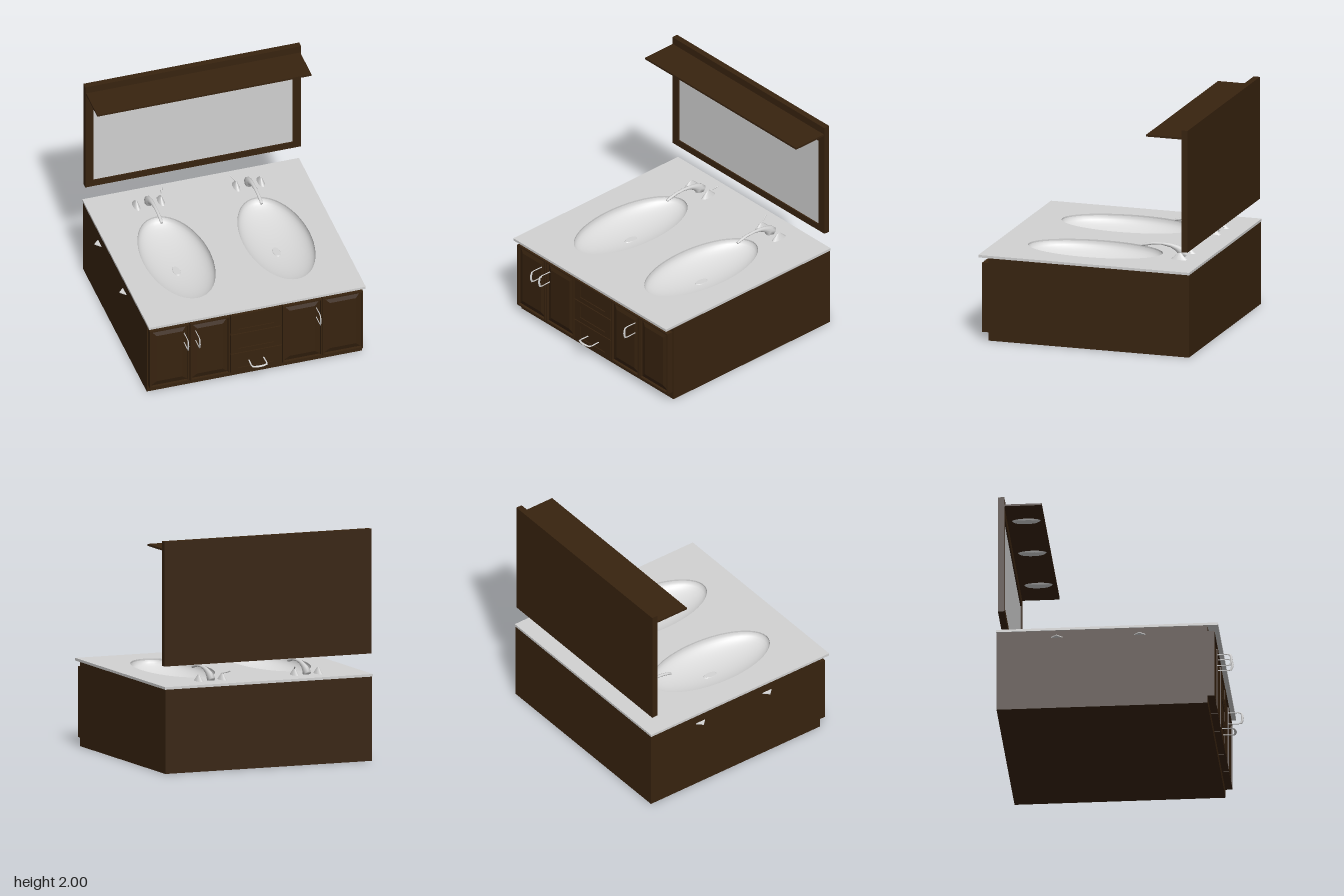
import * as THREE from 'three';

const mat = (name, color, side = THREE.FrontSide) => {
  const m = new THREE.MeshStandardMaterial({ color, side });
  m.name = name;
  return m;
};

export function createModel() {
  const wood = mat('dark wood', 0x38230f);
  const stone = mat('pale stone', 0xd2d2d2);
  const glass = mat('mirror glass', 0xd0d0d0);
  const porcelain = mat('porcelain', 0xdadada, THREE.DoubleSide);
  const chrome = mat('chrome', 0xd4d4d4, THREE.DoubleSide);

  const model = new THREE.Group();
  model.name = 'doubleVanity';
  const add = (name, geo, material, parent = model) => {
    const m = new THREE.Mesh(geo, material);
    m.name = name;
    parent.add(m);
    return m;
  };
  // Box given by its min and max corners
  const box = (name, x0, x1, y0, y1, z0, z1, material = wood) =>
    add(name, new THREE.BoxGeometry(x1 - x0, y1 - y0, z1 - z0), material)
      .position.set((x0 + x1) / 2, (y0 + y1) / 2, (z0 + z1) / 2);

  const rectPath = (P, x0, x1, y0, y1) => {
    const p = new P();
    p.moveTo(x0, y0).lineTo(x1, y0).lineTo(x1, y1).lineTo(x0, y1).closePath();
    return p;
  };
  // Rectangular frame with a border, extruded from z0 to z1
  const frame = (name, x0, x1, y0, y1, bl, bb, bt, z0, z1) => {
    const s = rectPath(THREE.Shape, x0, x1, y0, y1);
    s.holes.push(rectPath(THREE.Path, x0 + bl, x1 - bl, y0 + bb, y1 - bt));
    const g = new THREE.ExtrudeGeometry(s, { depth: z1 - z0, bevelEnabled: false });
    g.translate(0, 0, z0);
    return add(name, g, wood);
  };
  // Panel whose front face is smaller than its back
  const raisedPanel = (name, x0, x1, y0, y1, z0, z1, inset) => {
    const w = x1 - x0, h = y1 - y0;
    const g = new THREE.BoxGeometry(w, h, z1 - z0);
    const p = g.attributes.position;
    for (let i = 0; i < p.count; i++) {
      if (p.getZ(i) > 0) {
        p.setX(i, p.getX(i) * (1 - 2 * inset / w));
        p.setY(i, p.getY(i) * (1 - 2 * inset / h));
      }
    }
    g.computeVertexNormals();
    g.translate((x0 + x1) / 2, (y0 + y1) / 2, (z0 + z1) / 2);
    add(name, g, wood);
  };
  // Sweep of elliptical sections [z, y, half width in x, half thickness]
  const loft = (sections, sides = 10) => {
    const pos = [], idx = [], n = sections.length;
    sections.forEach(([z, y, hw, ht], i) => {
      const a = sections[Math.max(i - 1, 0)], b = sections[Math.min(i + 1, n - 1)];
      const len = Math.hypot(b[0] - a[0], b[1] - a[1]);
      const tz = (b[0] - a[0]) / len, ty = (b[1] - a[1]) / len;
      for (let k = 0; k < sides; k++) {
        const t = k / sides * Math.PI * 2, s = Math.sin(t) * ht;
        pos.push(Math.cos(t) * hw, y + tz * s, z - ty * s);
      }
    });
    for (let i = 0; i < n - 1; i++) for (let k = 0; k < sides; k++) {
      const a = i * sides + k, b = i * sides + (k + 1) % sides;
      idx.push(a, b, a + sides, b, b + sides, a + sides);
    }
    for (let k = 1; k < sides - 1; k++) {
      const e = (n - 1) * sides;
      idx.push(0, k + 1, k, e, e + k, e + k + 1);
    }
    const g = new THREE.BufferGeometry();
    g.setAttribute('position', new THREE.Float32BufferAttribute(pos, 3));
    g.setIndex(idx);
    g.computeVertexNormals();
    return g;
  };

  // Cabinet carcass, open on top for the basins
  box('cabinetFloor', -0.935, 0.993, 0, 0.02, -0.997, 0.81);
  box('cabinetFront', -0.935, 0.993, 0.02, 0.727, 0.79, 0.81);
  box('cabinetBack', -0.935, 0.993, 0.02, 0.727, -0.997, -0.977);
  box('cabinetRight', -0.935, -0.915, 0.02, 0.727, -0.977, 0.79);
  box('cabinetLeft', 0.973, 0.993, 0.02, 0.727, -0.977, 0.79);

  // Doors
  for (const [x0, x1] of [[-0.925, -0.57], [-0.563, -0.208], [0.266, 0.618], [0.625, 0.983]]) {
    frame('doorFrame', x0, x1, 0.07, 0.68, 0.013, 0.013, 0.013, 0.81, 0.87);
    raisedPanel('doorPanel', x0 + 0.013, x1 - 0.013, 0.083, 0.667, 0.845, 0.864, 0.05);
  }
  // Drawers
  for (const [y0, y1] of [[0.07, 0.268], [0.276, 0.474], [0.482, 0.68]]) {
    frame('drawerFrame', -0.2, 0.258, y0, y1, 0.07, 0.042, 0.042, 0.81, 0.868);
    box('drawerPanel', -0.13, 0.188, y0 + 0.042, y1 - 0.042, 0.81, 0.86);
  }

  // Bow handles
  const handleGeo = loft([
    [0.865, 0.05, 0.004, 0.005], [0.955, 0.053, 0.004, 0.005], [0.98, 0.046, 0.005, 0.009],
    [0.988, 0.022, 0.006, 0.011], [0.99, 0, 0.006, 0.012], [0.988, -0.022, 0.006, 0.011],
    [0.98, -0.046, 0.005, 0.009], [0.955, -0.053, 0.004, 0.005], [0.865, -0.05, 0.004, 0.005],
  ], 8);
  for (const x of [-0.618, -0.515, 0.566]) add('doorHandle', handleGeo, chrome).position.set(x, 0.545, 0);
  const pull = add('drawerHandle', handleGeo, chrome);
  pull.position.set(0.03, 0.17, -0.017);
  pull.rotation.z = Math.PI / 2;
  pull.scale.y = 1.3;

  // Countertop with two oval cutouts
  const basinX = [-0.42, 0.475], basinZ = 0.02, rx = 0.295, rz = 0.6;
  const top = rectPath(THREE.Shape, -0.942, 0.997, -0.9, 1);
  for (const x of basinX) {
    const hole = new THREE.Path();
    hole.absellipse(x, -basinZ, rx, rz, 0, Math.PI * 2, true);
    top.holes.push(hole);
  }
  const topGeo = new THREE.ExtrudeGeometry(top, { depth: 0.022, bevelEnabled: false, curveSegments: 24 });
  topGeo.rotateX(-Math.PI / 2);
  topGeo.translate(0, 0.727, 0);
  add('countertop', topGeo, stone);

  // Basins, drains and taps
  const bowl = [];
  for (let i = 0; i <= 12; i++) {
    const t = i / 12 * Math.PI / 2;
    bowl.push(new THREE.Vector2(Math.sin(t) * rx, 0.735 - 0.135 * Math.cos(t)));
  }
  const bowlGeo = new THREE.LatheGeometry(bowl, 48).scale(1, 1, rz / rx);
  const drainGeo = new THREE.CylinderGeometry(0.03, 0.034, 0.006, 20).scale(1, 1, 2);
  const spoutGeo = loft([
    [-0.79, 0.748, 0.031, 0.06], [-0.765, 0.785, 0.027, 0.045], [-0.72, 0.815, 0.022, 0.028],
    [-0.66, 0.836, 0.018, 0.018], [-0.58, 0.845, 0.015, 0.011], [-0.5, 0.841, 0.014, 0.011],
    [-0.435, 0.827, 0.014, 0.012], [-0.398, 0.815, 0.012, 0.01],
  ]);
  const tapGeo = new THREE.CylinderGeometry(0.006, 0.03, 0.055, 10).scale(1, 1, 2.5);
  const leverGeo = loft([
    [0.01, 0, 0.005, 0.005], [-0.05, 0.012, 0.006, 0.005], [-0.09, 0.028, 0.007, 0.005],
  ], 6);
  basinX.forEach((x, i) => {
    add('basin', bowlGeo, porcelain).position.set(x, 0, basinZ);
    add('drain', drainGeo, chrome).position.set(x, 0.602, basinZ);
    add('spout', spoutGeo, chrome).position.x = x;
    for (const s of [-1, 1]) add('tap', tapGeo, chrome).position.set(x + s * 0.11, 0.7765, -0.775);
    const inner = i === 0 ? 1 : -1;
    const lever = add('tapLever', leverGeo, chrome);
    lever.position.set(x + inner * 0.11, 0.803, -0.775);
    lever.rotation.y = -inner * 0.4;
  });

  // Small pegs on the side
  for (const z of [-0.48, 0.23]) {
    const s = new THREE.Shape();
    s.moveTo(-0.95, -0.05).lineTo(-0.95, 0.05).lineTo(-0.998, 0).closePath();
    const g = new THREE.ExtrudeGeometry(s, { depth: 0.008, bevelEnabled: false });
    g.rotateX(-Math.PI / 2);
    add('sidePeg', g, chrome).position.set(0, 0.652, z);
  }

  // Framed mirror
  box('mirrorBack', -0.937, 0.995, 0.925, 2, -0.985, -0.95);
  frame('mirrorFrame', -0.937, 0.995, 0.925, 2, 0.075, 0.06, 0.163, -0.95, -0.93);
  box('mirrorGlass', -0.862, 0.92, 0.985, 1.837, -0.95, -0.942, glass);

  // Shelf with three flush lights under it
  box('shelf', -0.93, 0.987, 1.917, 1.934, -0.93, -0.61);
  const lightGeo = new THREE.CylinderGeometry(0.047, 0.04, 0.012, 28).scale(1, 1, 2.6);
  for (const x of [-0.62, 0.03, 0.68]) add('shelfLight', lightGeo, chrome).position.set(x, 1.911, -0.767);

  return model;
}
